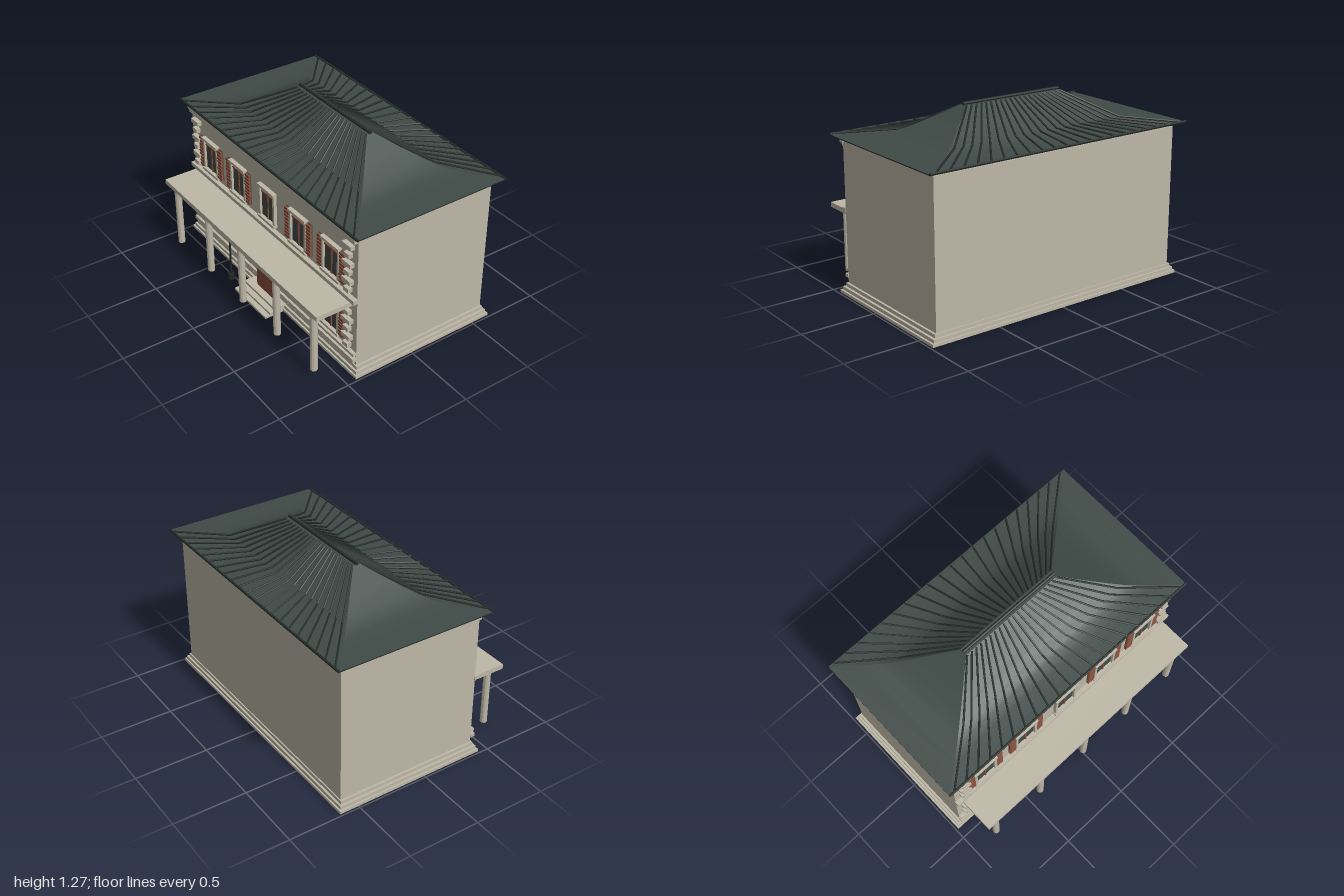
import * as THREE from 'three';

const mat = (name, color, side = THREE.FrontSide) => {
  const m = new THREE.MeshStandardMaterial({ color, side });
  m.name = name;
  return m;
};

export function createModel() {
  const stone = mat('stone', 0xbeb8a7);
  const slate = mat('slate', 0x3f4b47, THREE.DoubleSide);
  const trim = mat('roofTrim', 0x252d2b);
  const glass = mat('glass', 0x414c48);
  const wood = mat('wood', 0x8a4f3d);
  const iron = mat('iron', 0x1f2727);

  const house = new THREE.Group();
  house.name = 'house';

  const add = (parent, name, geo, m, x = 0, y = 0, z = 0) => {
    const mesh = new THREE.Mesh(geo, m);
    mesh.name = name;
    mesh.position.set(x, y, z);
    parent.add(mesh);
    return mesh;
  };
  // box given by its limits on each axis
  const box = (parent, name, m, x0, x1, y0, y1, z0, z1) =>
    add(parent, name, new THREE.BoxGeometry(x1 - x0, y1 - y0, z1 - z0), m,
      (x0 + x1) / 2, (y0 + y1) / 2, (z0 + z1) / 2);
  // straight rod between two points
  const rod = (parent, name, m, a, b, r, sides = 8) => {
    const d = b.clone().sub(a);
    const mesh = add(parent, name, new THREE.CylinderGeometry(r, r, d.length(), sides), m);
    mesh.position.copy(a).lerp(b, 0.5);
    mesh.quaternion.setFromUnitVectors(new THREE.Vector3(0, 1, 0), d.normalize());
    return mesh;
  };
  const V = (x, y, z) => new THREE.Vector3(x, y, z);

  // walls and stepped plinth
  box(house, 'walls', stone, -0.94, 0.94, 0.01, 1.02, -0.6, 0.4);
  [[0.985, 0, 0.02, 0.033], [0.972, 0.02, 0.043, 0.022], [0.955, 0.043, 0.067, 0.008]].forEach(([x, y0, y1, d]) =>
    box(house, 'plinth', stone, -x, x, y0, y1, -0.6 - d, 0.4 + d));

  // bands across the facade: [half width, bottom, top, front]
  [[0.945, 1.0, 1.027, 0.432], [0.935, 0.976, 0.992, 0.425], [0.945, 0.548, 0.575, 0.432],
    [0.93, 0.53, 0.548, 0.42], [0.9, 0.507, 0.524, 0.425],
    [0.94, 0.142, 0.162, 0.425], [0.945, 0.1, 0.125, 0.43]].forEach(([x, y0, y1, z]) =>
    box(house, 'facadeBand', stone, -x, x, y0, y1, 0.395, z));

  // corner stones, alternately long and short
  for (const s of [-1, 1]) {
    for (const start of [0.197, 0.615]) {
      for (let i = 0; i < (start < 0.5 ? 5 : 6); i++) {
        const inner = i % 2 ? 0.82 : 0.84, outer = i % 2 ? 0.905 : 0.89;
        const y = start + i * 0.0625;
        box(house, 'cornerStone', stone, Math.min(s * inner, s * outer), Math.max(s * inner, s * outer),
          y - 0.015, y + 0.015, 0.395, 0.432);
      }
    }
  }

  // elliptical arch moulding over a lower window
  const archGeo = (() => {
    const s = new THREE.Shape();
    s.absellipse(0, 0, 0.095, 0.07, 0, Math.PI, false);
    s.absellipse(0, 0, 0.077, 0.052, Math.PI, 0, true);
    return new THREE.ExtrudeGeometry(s, { depth: 0.03, bevelEnabled: false, curveSegments: 16 });
  })();

  const makeWindow = (x, y0, y1, { shutters = true, arch = false, bar } = {}) => {
    const g = new THREE.Group();
    g.name = 'window';
    g.position.x = x;
    house.add(g);
    const w = 0.075;
    box(g, 'pane', glass, -w, w, y0, y1, 0.4, 0.406);
    for (const s of [-1, 1]) box(g, 'frameSide', stone, s * 0.081 - 0.009, s * 0.081 + 0.009, y0, y1, 0.395, 0.422);
    box(g, 'sill', stone, -0.095, 0.095, y0 - 0.012, y0 + 0.006, 0.395, 0.43);
    box(g, 'lintel', stone, -0.093, 0.093, y1 - 0.005, y1 + 0.012, 0.395, 0.43);
    box(g, 'mullion', wood, -0.005, 0.005, y0, y1, 0.405, 0.412);
    box(g, 'transom', wood, -w, w, bar - 0.005, bar + 0.005, 0.405, 0.413);
    if (arch) add(g, 'arch', archGeo, stone, 0, y1 + 0.005, 0.398);
    if (!shutters) return;
    // louvred shutters
    for (const s of [-1, 1]) {
      const c = s * 0.114;
      box(g, 'shutterBack', glass, c - 0.024, c + 0.024, y0, y1, 0.4, 0.408);
      const n = 9, step = (y1 - y0) / n;
      for (let i = 0; i < n; i++) {
        const y = y0 + (i + 0.5) * step;
        box(g, 'shutterSlat', wood, c - 0.026, c + 0.026, y - step * 0.36, y + step * 0.36, 0.405, 0.42);
      }
    }
  };
  for (const x of [-0.69, -0.345, 0.345, 0.69]) {
    makeWindow(x, 0.612, 0.84, { bar: 0.8 });
    makeWindow(x, 0.205, 0.428, { bar: 0.366, arch: true });
  }
  makeWindow(0, 0.612, 0.84, { bar: 0.8, shutters: false });
  makeWindow(0, 0.335, 0.428, { bar: 0.366, shutters: false, arch: true });

  // door and front steps
  box(house, 'door', wood, -0.1, 0.1, 0.05, 0.345, 0.4, 0.448);
  [[0.188, 0, 0.016, 0.572], [0.186, 0.016, 0.031, 0.535], [0.184, 0.031, 0.048, 0.495]].forEach(([x, y0, y1, z]) =>
    box(house, 'step', stone, -x, x, y0, y1, 0.4, z));

  // porch canopy and columns
  box(house, 'porchCanopy', stone, -0.9, 0.9, 0.505, 0.538, 0.395, 0.665);
  const colGeo = new THREE.CylinderGeometry(0.024, 0.024, 0.428, 12).toNonIndexed();
  colGeo.computeVertexNormals();
  for (let i = -2; i <= 2; i++) add(house, 'porchColumn', colGeo, stone, i * 0.405, 0.269, 0.621);

  // concave hipped roof, each slope lofted from eave to ridge
  const roof = new THREE.Group();
  roof.name = 'roof';
  roof.position.z = -0.102;
  house.add(roof);
  const profile = [[0, 0], [0.25, 0.01], [0.38, 0.05], [0.48, 0.12], [0.62, 0.32], [0.8, 0.63], [1, 1]];
  const corners = profile.map(([t, h]) => {
    const x = THREE.MathUtils.lerp(1, 0.375, t), z = THREE.MathUtils.lerp(0.558, 0.025, t), y = 1.053 + 0.203 * h;
    return [[-x, y, z], [x, y, z], [x, y, -z], [-x, y, -z]];
  });
  for (let s = 0; s < 4; s++) {
    const pos = [], idx = [];
    corners.forEach((ring, i) => {
      pos.push(...ring[s], ...ring[(s + 1) % 4]);
      const a = i * 2;
      if (i) idx.push(a - 2, a - 1, a + 1, a - 2, a + 1, a);
    });
    const geo = new THREE.BufferGeometry();
    geo.setAttribute('position', new THREE.Float32BufferAttribute(pos, 3));
    geo.setIndex(idx);
    geo.computeVertexNormals();
    add(roof, 'roofSlope', geo, slate);
  }
  box(roof, 'soffit', trim, -1, 1, 1.046, 1.052, -0.558, 0.558);
  box(roof, 'ridgeCap', slate, -0.375, 0.375, 1.245, 1.257, -0.025, 0.025);
  rod(roof, 'ridgeTube', trim, V(-0.378, 1.264, 0), V(0.378, 1.264, 0), 0.011, 12);

  // raised seams fanning from ridge to eaves, bent halfway
  for (const s of [-1, 1]) {
    rod(roof, 'eaveTube', trim, V(-1, 1.055, s * 0.554), V(1, 1.055, s * 0.554), 0.008);
    const n = 21;
    for (let i = 0; i < n; i++) {
      const u = (i / (n - 1)) * 2 - 1;
      const a = V(u * 0.96, 1.057, s * 0.552), b = V(u * 0.65, 1.09, s * 0.292), c = V(u * 0.37, 1.254, s * 0.028);
      rod(roof, 'roofSeam', trim, a, b, 0.0065, 6);
      rod(roof, 'roofSeam', trim, b, c, 0.0065, 6);
    }
  }

  // twin street lamp
  const lamp = new THREE.Group();
  lamp.name = 'streetLamp';
  lamp.position.set(-0.313, 0, 0.521);
  house.add(lamp);
  add(lamp, 'lampBase', new THREE.CylinderGeometry(0.022, 0.026, 0.04, 8), iron, 0, 0.02, 0);
  add(lamp, 'lampPole', new THREE.CylinderGeometry(0.005, 0.008, 0.39, 8), iron, 0, 0.23, 0);
  add(lamp, 'lampFinial', new THREE.SphereGeometry(0.009, 10, 8), iron, 0, 0.43, 0);
  for (const s of [-1, 1]) {
    const arm = new THREE.CatmullRomCurve3([V(0, 0.425, 0), V(s * 0.025, 0.423, 0), V(s * 0.045, 0.433, 0), V(s * 0.064, 0.442, 0)]);
    add(lamp, 'lampArm', new THREE.TubeGeometry(arm, 10, 0.004, 6), iron);
    add(lamp, 'lantern', new THREE.CylinderGeometry(0.018, 0.013, 0.03, 6), stone, s * 0.064, 0.416, 0);
    add(lamp, 'lanternBottom', new THREE.CylinderGeometry(0.015, 0.012, 0.005, 6), iron, s * 0.064, 0.4, 0);
    add(lamp, 'lanternRoof', new THREE.ConeGeometry(0.026, 0.02, 6), iron, s * 0.064, 0.441, 0);
  }

  return house;
}
